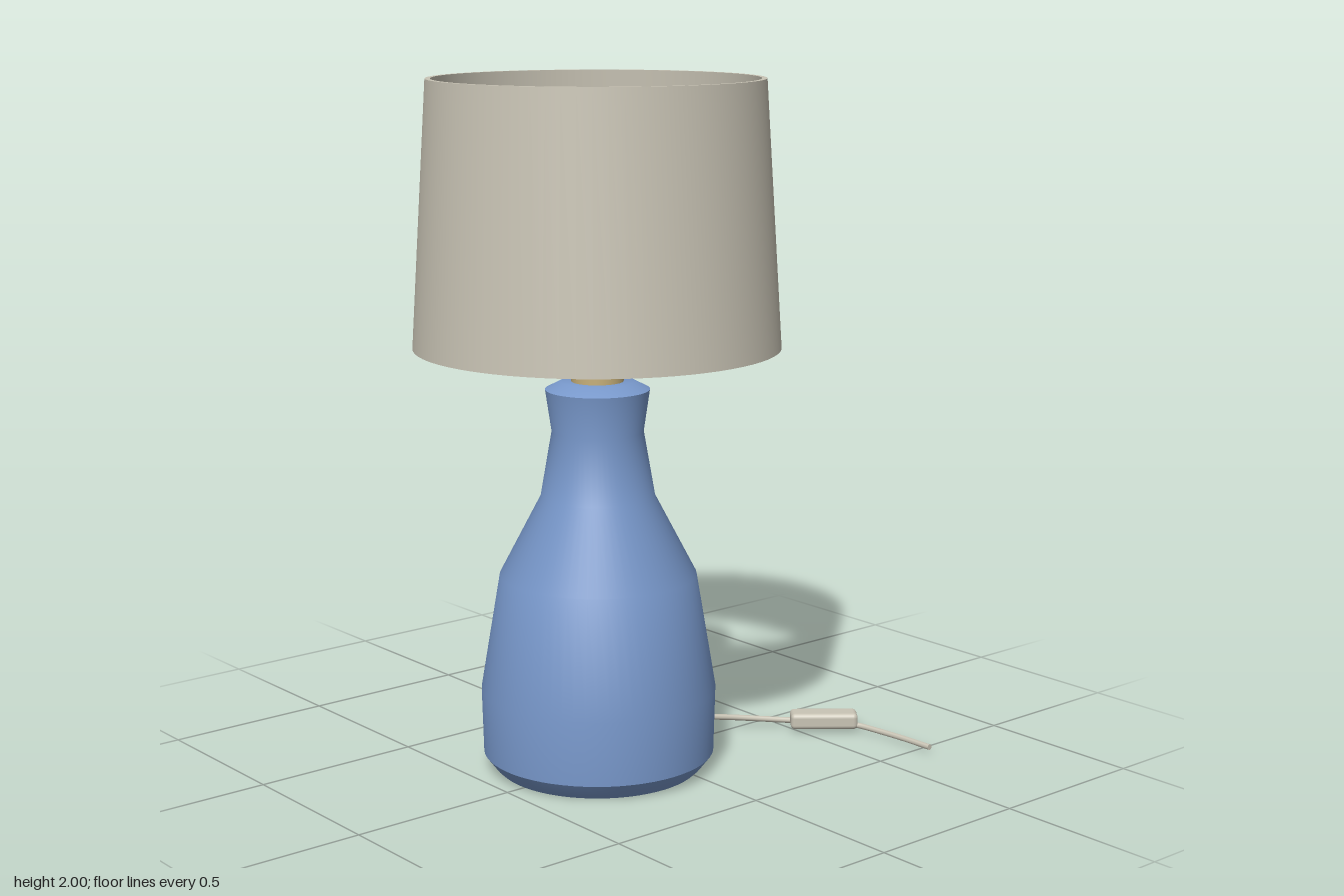
import * as THREE from 'three';
import { toCreasedNormals } from 'three/addons/utils/BufferGeometryUtils.js';
import { RoundedBoxGeometry } from 'three/addons/geometries/RoundedBoxGeometry.js';

const material = (name, color) => {
  const m = new THREE.MeshStandardMaterial({ color });
  m.name = name;
  return m;
};

export function createModel() {
  const ceramic = material('blue ceramic', 0x7898cb);
  const linen = material('linen grey', 0xc9c4b5);
  const brass = material('pale brass', 0xc6af79);
  const glass = material('cream glass', 0xd8c9a2);

  const model = new THREE.Group();
  model.name = 'tableLamp';
  const lamp = new THREE.Group();
  lamp.name = 'lamp';
  lamp.position.set(-0.025, 0, 0.145);
  model.add(lamp);

  const add = (parent, name, geometry, mat) => {
    const mesh = new THREE.Mesh(geometry, mat);
    mesh.name = name;
    parent.add(mesh);
    return mesh;
  };
  // Turned part from [radius, height] pairs, with sharp edges kept
  const turned = (profile, segments = 64) => toCreasedNormals(
    new THREE.LatheGeometry(profile.map(([r, y]) => new THREE.Vector2(r, y)), segments), 0.5);
  // Round rod between two points
  const rod = (a, b, radius) => new THREE.TubeGeometry(new THREE.LineCurve3(a, b), 1, radius, 8);

  // Bottle-shaped base
  add(lamp, 'base', turned([
    [0, 0], [0.295, 0], [0.308, 0.012], [0.337, 0.05], [0.342, 0.24], [0.285, 0.58],
    [0.165, 0.81], [0.132, 1.0], [0.15, 1.122], [0.105, 1.145], [0, 1.145],
  ]), ceramic);

  // Lamp holder with its collar and turn switch
  add(lamp, 'socket', turned([
    [0, 1.14], [0.075, 1.14], [0.075, 1.35], [0.09, 1.35], [0.09, 1.39], [0, 1.39],
  ], 40), brass);
  const knob = add(lamp, 'switchKnob', new THREE.CylinderGeometry(0.022, 0.022, 0.05, 16), brass);
  knob.rotation.z = Math.PI / 2;
  knob.position.set(0.095, 1.31, 0);

  // Flared bulb with a domed top
  const bulbProfile = [[0, 1.375], [0.092, 1.375], [0.143, 1.53]];
  for (let i = 0; i <= 8; i++) {
    const a = (i / 8) * Math.PI / 2;
    bulbProfile.push([0.138 * Math.cos(a), 1.55 + 0.13 * Math.sin(a)]);
  }
  add(lamp, 'bulb', turned(bulbProfile, 40), glass);

  // Tapered shade, a thin closed shell
  add(lamp, 'shade', turned([
    [0.523, 1.245], [0.475, 2], [0.46, 2], [0.508, 1.245], [0.523, 1.245],
  ], 72), linen);

  // Three sloping arms carrying the shade, and its wire ring
  for (let i = 0; i < 3; i++) {
    const a = i * Math.PI * 2 / 3;
    const at = (r, y) => new THREE.Vector3(r * Math.sin(a), y, -r * Math.cos(a));
    add(lamp, 'shadeArm', rod(at(0.08, 1.385), at(0.51, 1.255), 0.007), linen);
  }
  const ring = add(lamp, 'shadeRing', new THREE.TorusGeometry(0.504, 0.007, 8, 72), linen);
  ring.rotation.x = Math.PI / 2;
  ring.position.y = 1.255;

  // Cord running through the inline switch
  const cable = (name, points) => {
    const curve = new THREE.CatmullRomCurve3(points.map((p) => new THREE.Vector3(...p)));
    add(model, name, new THREE.TubeGeometry(curve, 32, 0.009, 8), linen);
    return curve.getPoint(1);
  };
  cable('cordNear', [
    [-0.025, 0.09, -0.15], [-0.037, 0.067, -0.2], [-0.04, 0.05, -0.26], [-0.012, 0.033, -0.36],
    [0.045, 0.023, -0.45], [0.1, 0.02, -0.51], [0.16, 0.025, -0.55],
  ]);
  const end = cable('cordFar', [
    [0.22, 0.025, -0.6], [0.27, 0.02, -0.637], [0.34, 0.018, -0.652],
    [0.44, 0.018, -0.661], [0.543, 0.018, -0.664],
  ]);
  const cap = add(model, 'cordEnd', new THREE.CircleGeometry(0.009, 8), linen);
  cap.rotation.y = Math.PI / 2;
  cap.position.copy(end);

  const cordSwitch = add(model, 'cordSwitch', new RoundedBoxGeometry(0.205, 0.05, 0.07, 3, 0.014), linen);
  cordSwitch.position.set(0.188, 0.034, -0.57);
  cordSwitch.rotation.y = Math.atan2(0.16, 0.13);

  return model;
}
